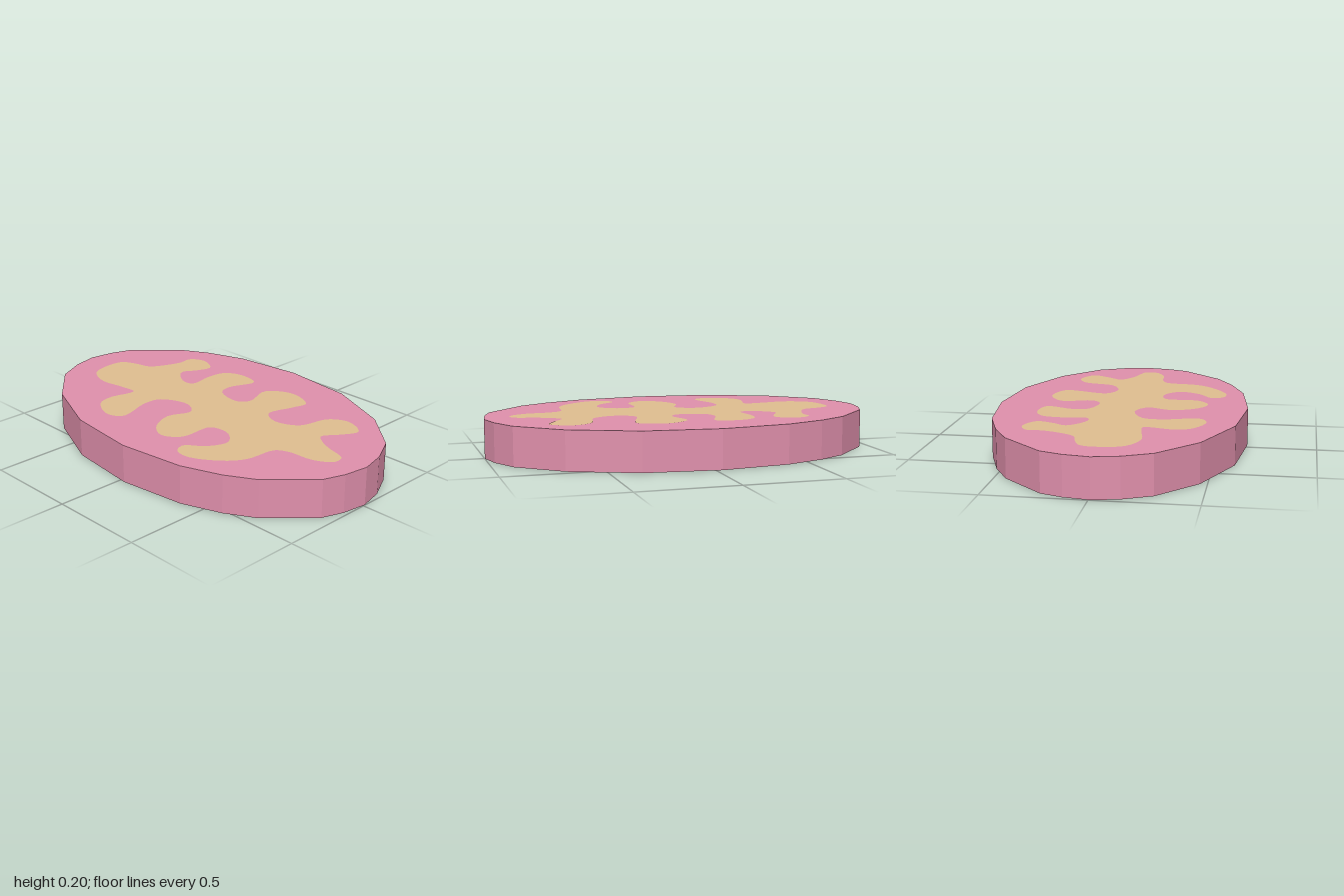
import * as THREE from 'three';

const HEIGHT = 0.2;
const SKIN = 0.001; // gap between the slab caps and the painted faces

// Half of the faceted oval rim as [x, z]; the other half is its half-turn.
const halfRim = [
  [-0.01, -1], [0.12, -0.98], [0.23, -0.94], [0.44, -0.74], [0.525, -0.59], [0.6, -0.385],
  [0.645, -0.03], [0.605, 0.35], [0.465, 0.685], [0.28, 0.9], [0.14, 0.97],
];

// Wavy patch, right edge from back to front: four lobes.
const rightEdge = [
  [-0.01, -0.835], [0.07, -0.82], [0.11, -0.74], [0.135, -0.66],
  [0.295, -0.585], [0.375, -0.585], [0.415, -0.51], [0.365, -0.41], [0.285, -0.43], [0.205, -0.47],
  [0.12, -0.36], [0.135, -0.305],
  [0.265, -0.315], [0.365, -0.295], [0.41, -0.21], [0.385, -0.085], [0.24, -0.13], [0.165, -0.11],
  [0.13, 0.03], [0.18, 0.08],
  [0.335, 0.045], [0.415, 0.165], [0.365, 0.31], [0.28, 0.295], [0.135, 0.26],
  [0.085, 0.35], [0.135, 0.47],
  [0.295, 0.52], [0.345, 0.615], [0.285, 0.725], [0.19, 0.68],
  [0.115, 0.63], [0.075, 0.67], [0.04, 0.74], [0, 0.855],
];

// Left edge from front to back: three lobes.
const leftEdge = [
  [-0.06, 0.86], [-0.115, 0.775], [-0.13, 0.64], [-0.165, 0.58],
  [-0.325, 0.555], [-0.415, 0.495], [-0.51, 0.345], [-0.5, 0.26], [-0.44, 0.235], [-0.365, 0.32],
  [-0.26, 0.36], [-0.185, 0.28], [-0.2, 0.175],
  [-0.375, 0.16], [-0.435, 0.075], [-0.385, -0.02], [-0.26, -0.075],
  [-0.135, -0.035], [-0.08, -0.125], [-0.14, -0.265], [-0.235, -0.28],
  [-0.42, -0.235], [-0.46, -0.31], [-0.395, -0.445], [-0.31, -0.47],
  [-0.17, -0.445], [-0.17, -0.525], [-0.19, -0.685], [-0.13, -0.805],
];

// Smooth closed outline through the patch points; zSign flips it for the underside.
function patchShape(zSign) {
  const points = [...rightEdge, ...leftEdge].map(([x, z]) => new THREE.Vector3(x, z * zSign, 0));
  const curve = new THREE.CatmullRomCurve3(points, true, 'centripetal');
  return new THREE.Shape(curve.getPoints(300).slice(0, -1).map((p) => new THREE.Vector2(p.x, p.y)));
}

export function createModel() {
  const pink = new THREE.MeshStandardMaterial({ name: 'pink', color: 0xe090ac });
  const tan = new THREE.MeshStandardMaterial({ name: 'tan', color: 0xe0be90 });
  const model = new THREE.Group();
  model.name = 'patternedOvalSlab';

  const add = (name, geometry, material) => {
    const mesh = new THREE.Mesh(geometry, material);
    mesh.name = name;
    model.add(mesh);
  };

  // Faceted oval slab
  const rim = [...halfRim, ...halfRim.map(([x, z]) => [-x, -z])];
  const slab = new THREE.ExtrudeGeometry(
    new THREE.Shape(rim.map(([x, z]) => new THREE.Vector2(x, -z))),
    { depth: HEIGHT - 2 * SKIN, bevelEnabled: false },
  );
  add('ovalSlab', slab.rotateX(-Math.PI / 2).translate(0, SKIN, 0), pink);

  // The same wavy patch on the top and on the underside
  const top = new THREE.ShapeGeometry(patchShape(-1)).rotateX(-Math.PI / 2);
  add('topPatch', top.translate(0, HEIGHT, 0), tan);
  add('bottomPatch', new THREE.ShapeGeometry(patchShape(1)).rotateX(Math.PI / 2), tan);

  return model;
}
